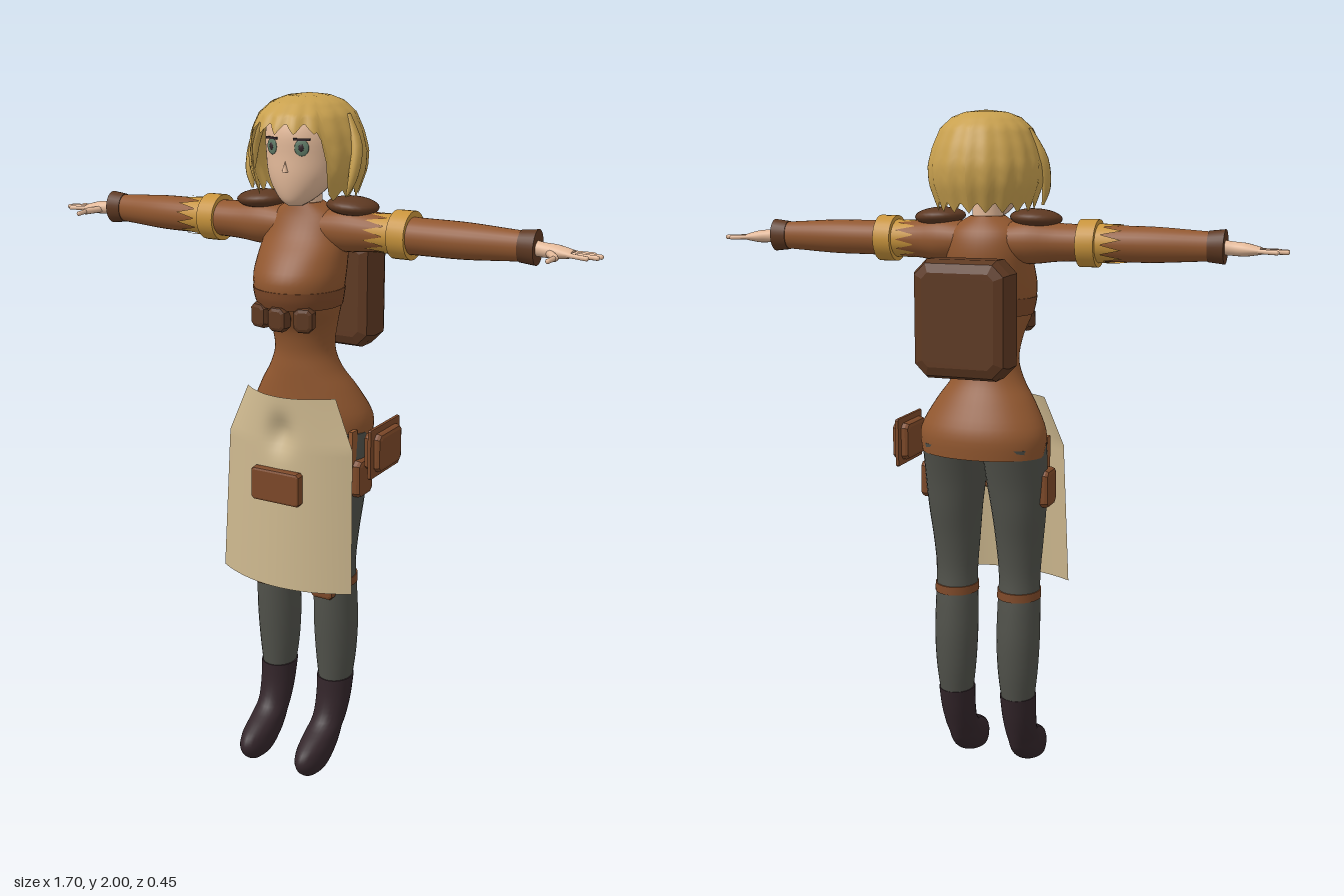
import * as THREE from 'three';
import { mergeGeometries } from 'three/addons/utils/BufferGeometryUtils.js';

const mat = (name, color, side = THREE.FrontSide) => {
  const m = new THREE.MeshStandardMaterial({ color, side });
  m.name = name;
  return m;
};

// Smooth loft through rows of [height, half width, back z, front z, centre x]
function loft(rows, seg = 28, sub = 4) {
  const rings = [];
  const at = (i) => rows[Math.min(Math.max(i, 0), rows.length - 1)];
  const cat = (a, b, c, d, t) => b + 0.5 * t * (c - a + t * (2 * a - 5 * b + 4 * c - d + t * (3 * (b - c) + d - a)));
  for (let i = 0; i < rows.length - 1; i++)
    for (let k = 0; k < sub; k++)
      rings.push([0, 1, 2, 3, 4].map((c) => cat(...[i - 1, i, i + 1, i + 2].map((j) => at(j)[c] ?? 0), k / sub)));
  rings.push([0, 1, 2, 3, 4].map((c) => at(rows.length)[c] ?? 0));
  const tip = ([y, , b, f, x]) => [y, 0, (b + f) / 2, (b + f) / 2, x];
  const first = rings[0], last = rings[rings.length - 1];
  const all = [tip(first), first, ...rings, last, tip(last)];
  const pos = [], idx = [];
  all.forEach(([y, r, b, f, x], j) => {
    for (let i = 0; i < seg; i++) {
      const a = (i / seg) * Math.PI * 2;
      pos.push(x + r * Math.cos(a), y, (b + f) / 2 + ((f - b) / 2) * Math.sin(a));
      if (j < all.length - 1) {
        const p = j * seg + i, q = j * seg + ((i + 1) % seg);
        idx.push(p, p + seg, q, q, p + seg, q + seg);
      }
    }
  });
  const g = new THREE.BufferGeometry();
  g.setAttribute('position', new THREE.Float32BufferAttribute(pos, 3));
  g.setIndex(idx);
  g.computeVertexNormals();
  return g;
}

// The same loft laid out along +x at arm height
const armLoft = (rows) => loft(rows).rotateZ(-Math.PI / 2).translate(0, 1.64, 0);

// Padded box with chamfered rim
function pad(w, h, d, bevel) {
  const x = w / 2 - bevel, y = h / 2 - bevel, c = bevel * 0.5;
  const s = new THREE.Shape([[x, -y + c], [x, y - c], [x - c, y], [-x + c, y], [-x, y - c], [-x, -y + c], [-x + c, -y], [x - c, -y]]
    .map(([a, b]) => new THREE.Vector2(a, b)));
  const depth = d - 2 * bevel;
  return new THREE.ExtrudeGeometry(s, { depth, bevelEnabled: true, bevelSize: bevel, bevelThickness: bevel, bevelSegments: 2 })
    .translate(0, 0, -depth / 2);
}

function rod(a, b, r) {
  const p = new THREE.Vector3(...a), d = new THREE.Vector3(...b).sub(p), len = d.length();
  return new THREE.CapsuleGeometry(r, len, 4, 8).translate(0, len / 2, 0)
    .applyQuaternion(new THREE.Quaternion().setFromUnitVectors(new THREE.Vector3(0, 1, 0), d.normalize()))
    .translate(p.x, p.y, p.z);
}

function mirrored(g) {
  const m = g.clone();
  if (!m.index) m.setIndex([...Array(m.attributes.position.count).keys()]);
  m.setIndex([...m.index.array].reverse());
  return m.scale(-1, 1, 1);
}

// Bobbed hair: a dome whose lower edge opens around the face and ends in points
function hairGeometry() {
  const U = 128, V = 20, pos = [], idx = [];
  const prof = [[2, 0], [1.995, 0.055], [1.98, 0.095], [1.95, 0.128], [1.9, 0.15], [1.85, 0.163], [1.8, 0.16], [1.75, 0.142], [1.68, 0.115]];
  const radius = (y) => {
    const i = Math.max(1, prof.findIndex((p) => p[0] <= y));
    const [y0, r0] = prof[i - 1], [y1, r1] = prof[i];
    return r0 + ((r1 - r0) * (y0 - y)) / (y0 - y1);
  };
  for (let j = 0; j <= V; j++)
    for (let i = 0; i <= U; i++) {
      const u = (i / U) * 2 * Math.PI - Math.PI;
      const saw = Math.abs((((u + Math.PI) * 18) / (2 * Math.PI)) % 1 - 0.5) * 2;
      const edge = 1.92 - 0.18 * THREE.MathUtils.smoothstep(Math.abs(u), 0.74, 0.92) - 0.03 * saw + 0.012;
      const y = 2 - (2 - edge) * (j / V) ** 1.6;
      const r = radius(y) * (1 + 0.02 * Math.cos(18 * u) * (j / V));
      const front = Math.cos(u) > 0 ? 1.08 + 0.17 * THREE.MathUtils.smoothstep(y, 1.84, 1.93) : 0.98;
      pos.push(r * Math.sin(u), y, r * Math.cos(u) * front);
      if (j < V && i < U) {
        const p = j * (U + 1) + i, q = p + U + 1;
        idx.push(p, q, p + 1, p + 1, q, q + 1);
      }
    }
  const g = new THREE.BufferGeometry();
  g.setAttribute('position', new THREE.Float32BufferAttribute(pos, 3));
  g.setIndex(idx);
  g.computeVertexNormals();
  return g;
}

// Hanging cloth, bowed around the hips and pinched at the middle
function apronGeometry() {
  const g = new THREE.PlaneGeometry(2, 1, 32, 32), p = g.attributes.position;
  for (let i = 0; i < p.count; i++) {
    const u = p.getX(i), t = 0.5 - p.getY(i), y = 1.18 - 0.57 * t;
    const x = u * (0.145 + 0.055 * Math.min(1, t * 4) + 0.018 * t);
    const dent = 0.03 * Math.exp(-((x / 0.04) ** 2) - ((y - 1.07) / 0.05) ** 2);
    p.setXYZ(i, x, y, 0.17 + 0.03 * t - 0.065 * u * u - dent);
  }
  g.computeVertexNormals();
  return g;
}

export function createModel() {
  const root = new THREE.Group();
  root.name = 'adventurer';
  const leather = mat('jacket leather', 0x91572f), dark = mat('dark leather', 0x5e3922), pouch = mat('pouch leather', 0x7c4828),
    trouser = mat('grey trousers', 0x50514a), boot = mat('dark boots', 0x33252a), hair = mat('blonde hair', 0xc9a14f, THREE.DoubleSide),
    gold = mat('gold band', 0xc8943c, THREE.DoubleSide), skin = mat('skin', 0xe3b999), cloth = mat('tan cloth', 0xcbb68d, THREE.DoubleSide),
    green = mat('eye green', 0x5f7a66);
  const add = (name, g, m) => {
    const mesh = new THREE.Mesh(g, m);
    mesh.name = name;
    root.add(mesh);
    return mesh;
  };
  const pair = (name, g, m) => {
    add(name + 'Left', g, m);
    add(name + 'Right', mirrored(g), m);
  };

  // Jacket body and neck
  add('jacket', loft([[1.03, 0.185, -0.14, 0.09], [1.1, 0.19, -0.14, 0.1], [1.18, 0.15, -0.1, 0.1], [1.24, 0.11, -0.065, 0.1],
    [1.3, 0.09, -0.05, 0.1], [1.37, 0.1, -0.055, 0.12], [1.43, 0.118, -0.065, 0.17], [1.5, 0.13, -0.075, 0.187],
    [1.56, 0.13, -0.08, 0.155], [1.62, 0.125, -0.08, 0.105], [1.67, 0.11, -0.065, 0.078], [1.71, 0.05, -0.03, 0.065]], 40), leather);
  add('neck', loft([[1.66, 0.045, -0.03, 0.065], [1.78, 0.042, -0.03, 0.06]]), skin);

  // Head and face
  add('head', loft([[1.705, 0.02, 0.05, 0.1], [1.72, 0.045, 0.02, 0.115], [1.75, 0.075, -0.03, 0.125], [1.79, 0.098, -0.07, 0.13],
    [1.84, 0.11, -0.1, 0.13], [1.9, 0.115, -0.12, 0.13], [1.95, 0.1, -0.1, 0.11], [1.98, 0.05, -0.05, 0.07]], 36), skin);
  add('nose', new THREE.ConeGeometry(0.009, 0.03, 8).translate(0, 1.815, 0.131), skin);
  const face = (g, y, z) => g.rotateY(0.36).translate(0.046, y, z);
  pair('eye', face(new THREE.SphereGeometry(1, 16, 10).scale(0.02, 0.022, 0.004), 1.865, 0.121), green);
  pair('pupil', face(new THREE.SphereGeometry(1, 12, 8).scale(0.008, 0.011, 0.004), 1.865, 0.123), boot);
  pair('eyelash', face(new THREE.BoxGeometry(0.045, 0.006, 0.008), 1.887, 0.121), boot);
  add('hair', hairGeometry(), hair);
  pair('sideLock', loft([[1.74, 0.004, 0.055, 0.06, 0.15], [1.79, 0.012, 0.03, 0.065, 0.163], [1.87, 0.014, 0.005, 0.045, 0.16],
    [1.95, 0.006, 0, 0.02, 0.125]], 10), hair);

  // Sleeves, cuffs, arm bands and shoulder pads
  pair('sleeve', armLoft([[0.05, 0.05, -0.05, 0.07], [0.13, 0.062, -0.055, 0.075], [0.22, 0.053, -0.042, 0.072], [0.35, 0.05, -0.036, 0.07],
    [0.48, 0.049, -0.033, 0.066], [0.6, 0.042, -0.024, 0.05], [0.67, 0.038, -0.02, 0.042]]), leather);
  pair('cuff', armLoft([[0.635, 0.042, -0.024, 0.048], [0.68, 0.047, -0.028, 0.05]]), dark);
  pair('armBand', armLoft([[0.278, 0.066, -0.055, 0.08], [0.33, 0.066, -0.055, 0.08]]), gold);
  for (const x of [0.265, -0.345]) {
    const g = new THREE.CylinderGeometry(1, 1, 0.05, 24, 1, true), p = g.attributes.position;
    for (let i = 0; i < 25; i++) p.setY(25 + i, i % 2 ? -0.06 : 0.0);
    g.rotateZ(-Math.PI / 2).scale(1, 0.054, 0.059).translate(x, 1.64, 0.016);
    add('bandFringe', g, gold);
  }
  pair('shoulderPad', new THREE.SphereGeometry(1, 24, 12).scale(0.075, 0.026, 0.065).rotateZ(-0.05).translate(0.145, 1.706, 0.015), dark);

  // Hands
  const fingers = [0, 1, 2, 3].map((i) => rod([0.76, 1.632, -0.006 + i * 0.012],
    [[0.82, 0.845, 0.842, 0.82][i], 1.63, -0.016 + i * 0.02], 0.0065));
  pair('fingers', mergeGeometries([...fingers, rod([0.715, 1.632, 0.025], [0.745, 1.628, 0.065], 0.01),
    rod([0.745, 1.628, 0.065], [0.742, 1.626, 0.103], 0.007)]), skin);
  pair('palm', armLoft([[0.66, 0.021, -0.01, 0.032], [0.7, 0.019, -0.008, 0.034, 0.004], [0.735, 0.018, -0.014, 0.038, 0.006],
    [0.775, 0.01, -0.014, 0.038, 0.008]]), skin);

  // Legs, boots and knee pads
  pair('trouserLeg', loft([[0.26, 0.05, -0.045, 0.07, 0.1], [0.35, 0.06, -0.058, 0.078, 0.1], [0.45, 0.065, -0.062, 0.085, 0.1],
    [0.55, 0.064, -0.055, 0.088, 0.1], [0.65, 0.062, -0.045, 0.088, 0.1], [0.75, 0.07, -0.055, 0.095, 0.1],
    [0.85, 0.08, -0.075, 0.1, 0.1], [0.95, 0.09, -0.092, 0.1, 0.096], [1.06, 0.095, -0.12, 0.095, 0.092]]), trouser);
  pair('boot', loft([[0.005, 0.022, 0.15, 0.2, 0.098], [0.02, 0.04, 0.09, 0.217, 0.098], [0.05, 0.047, 0.04, 0.23, 0.098],
    [0.08, 0.048, 0.012, 0.215, 0.098], [0.105, 0.047, 0, 0.175, 0.098], [0.14, 0.048, -0.013, 0.11, 0.099],
    [0.2, 0.052, -0.032, 0.082, 0.1], [0.27, 0.055, -0.048, 0.074, 0.1]]), boot);
  pair('kneePad', pad(0.075, 0.095, 0.03, 0.01).translate(0.098, 0.6, 0.088), pouch);
  pair('kneeStrap', loft([[0.585, 0.066, -0.055, 0.091, 0.1], [0.61, 0.065, -0.053, 0.091, 0.1]]), pouch);

  // Apron with its pocket
  add('apron', apronGeometry(), cloth);
  add('apronPocket', pad(0.16, 0.1, 0.03, 0.008).translate(0, 0.92, 0.186), pouch);

  // Chest belt and small pouches
  add('chestBelt', loft([[1.43, 0.121, -0.069, 0.175], [1.455, 0.126, -0.073, 0.185], [1.48, 0.13, -0.076, 0.189]], 40), pouch);
  for (const x of [-0.068, 0, 0.068])
    add('chestPouch', pad(0.058, 0.07, 0.045, 0.012).rotateY(x * 4).translate(x, 1.405, 0.165 - Math.abs(x) * 0.3), dark);

  // Hip pouch, thigh pouches and backpack
  add('hipPouch', pad(0.14, 0.11, 0.055, 0.012).rotateY(Math.PI / 2).translate(0.263, 1.04, 0.04), pouch);
  add('hipPouchFlange', pad(0.178, 0.145, 0.012, 0.004).rotateY(Math.PI / 2).translate(0.265, 1.04, 0.04), pouch);
  pair('thighPouch', pad(0.085, 0.11, 0.04, 0.012).rotateY(Math.PI / 2).translate(0.182, 0.93, 0.018), pouch);
  pair('thighStrap', new THREE.BoxGeometry(0.012, 0.15, 0.03).translate(0.172, 1.0, 0.05), leather);
  add('backpack', pad(0.28, 0.33, 0.13, 0.035).translate(0, 1.437, -0.16), dark);
  return root;
}
